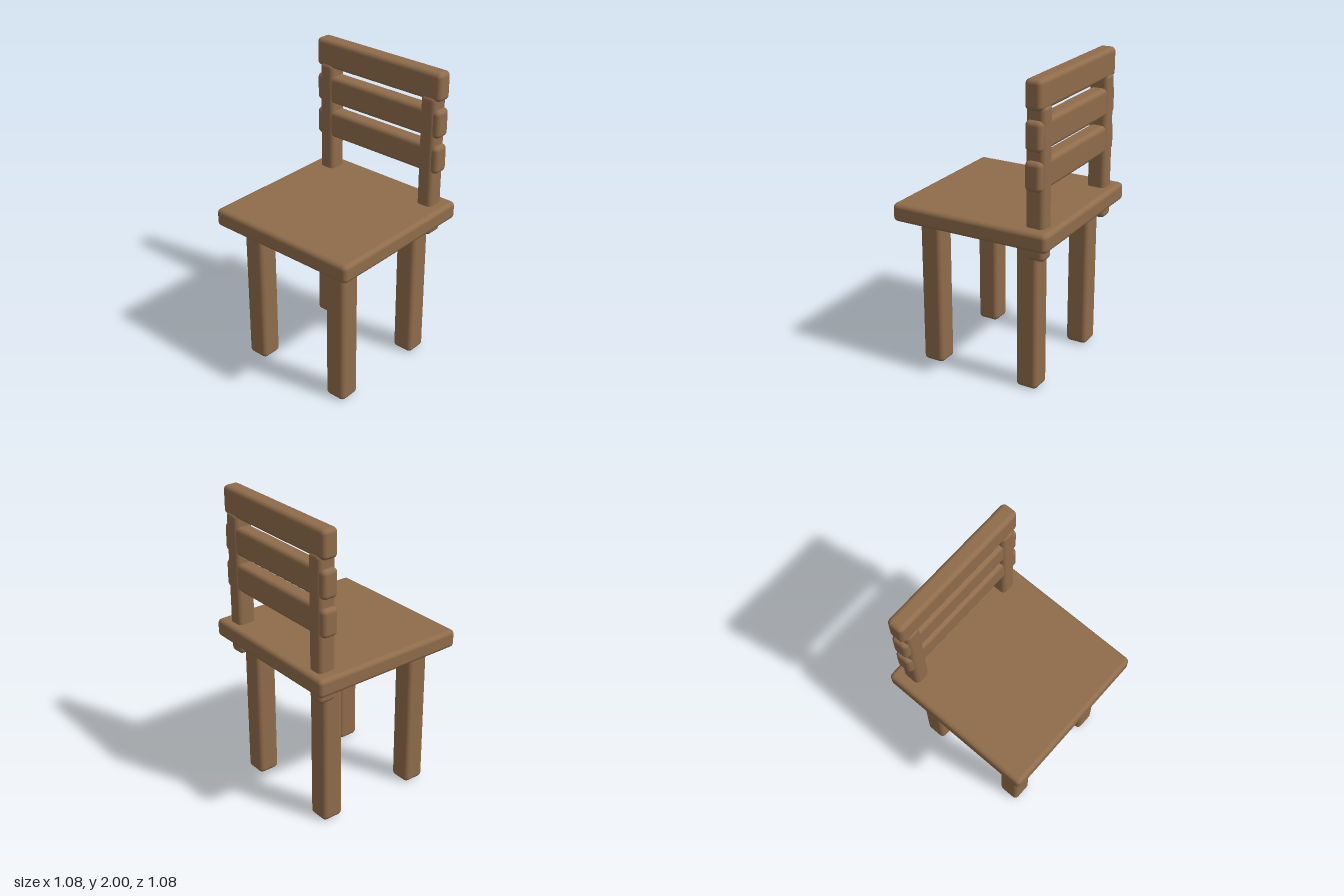
import * as THREE from 'three';
import { RoundedBoxGeometry } from 'three/addons/geometries/RoundedBoxGeometry.js';

export function createModel() {
  const group = new THREE.Group();
  const wood = new THREE.MeshStandardMaterial({ color: 0x8f6c4b });
  wood.name = 'brown wood';

  // Rounded board placed by its centre
  function board(name, [w, h, d], [x, y, z], radius = 0.03) {
    const mesh = new THREE.Mesh(new RoundedBoxGeometry(w, h, d, 3, radius), wood);
    mesh.name = name;
    mesh.position.set(x, y, z);
    group.add(mesh);
  }

  board('seat', [1.075, 0.12, 1.075], [0, 1.046, 0]);

  for (const [side, s] of [['left', 1], ['right', -1]]) {
    // Legs, touching the underside of the seat
    board(`${side}FrontLeg`, [0.147, 0.987, 0.147], [s * 0.344, 0.4935, 0.344]);
    board(`${side}BackLeg`, [0.147, 0.987, 0.147], [s * 0.344, 0.4935, -0.344]);
    // Back post, running through the seat
    board(`${side}BackPost`, [0.109, 0.95, 0.126], [s * 0.408, 1.37, -0.42]);
  }

  // Back slats
  ['lowerSlat', 'middleSlat', 'topSlat'].forEach((name, i) => {
    board(name, [0.986, 0.185, 0.111], [0, 1.4275 + i * 0.24, -0.42]);
  });

  return group;
}
